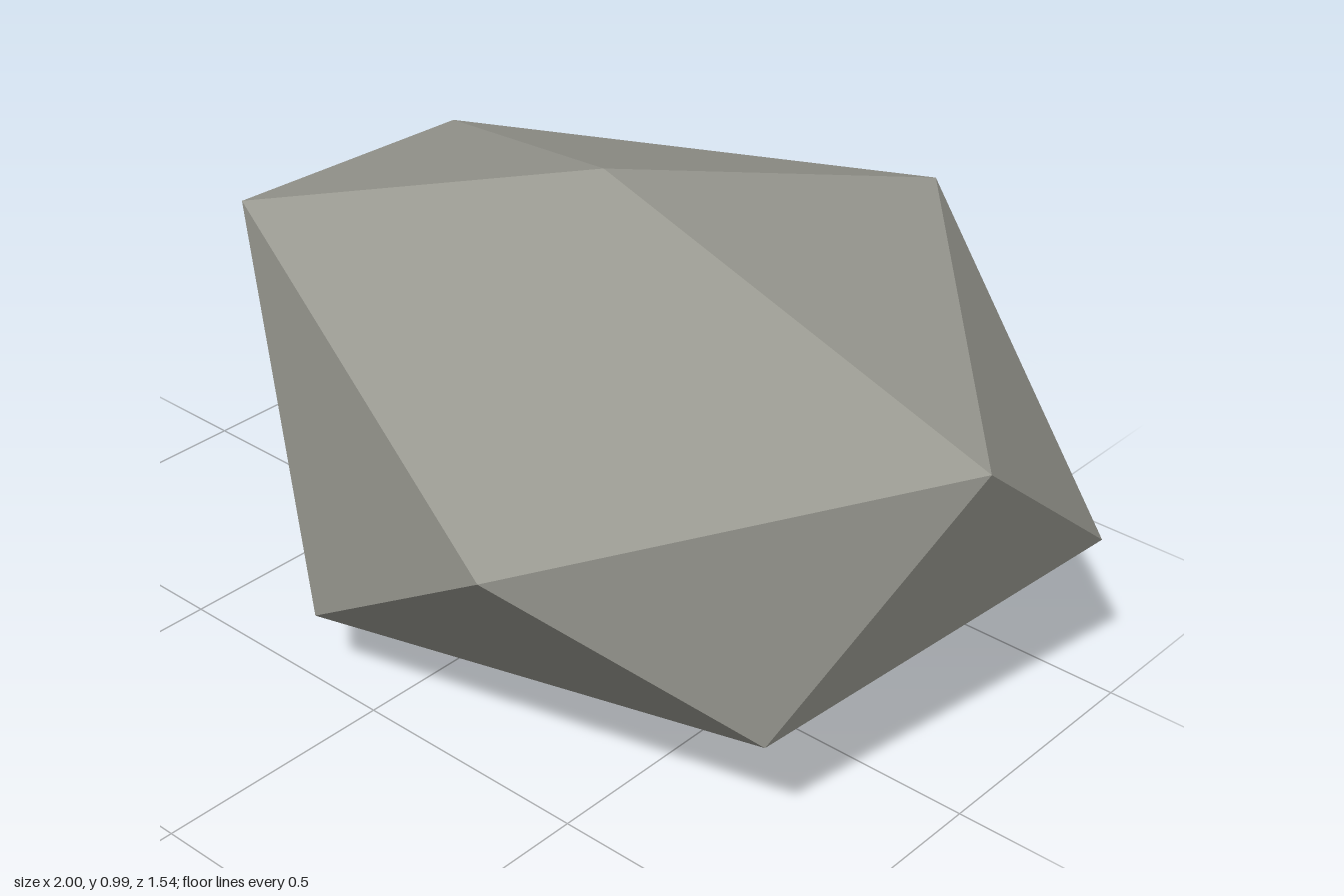
import * as THREE from 'three';

// Irregular faceted stone: a distorted icosahedron made of a top point,
// two staggered rings of five points, and a bottom point.
const top = [0.11, 0.99, -0.02];
const upperRing = [
  [-0.65, 0.755, 0.2], [0.55, 0.67, 0.77], [1.0, 0.715, 0.0],
  [0.325, 0.78, -0.775], [-0.755, 0.67, -0.5],
];
const lowerRing = [
  [-0.13, 0.167, 0.52], [0.82, 0.25, 0.35], [0.975, 0.367, -0.44],
  [-0.1, 0.25, -0.63], [-1.0, 0.25, -0.205],
];
const bottom = [0, 0, -0.2];

function createStoneGeometry() {
  const positions = [];
  const face = (a, b, c) => positions.push(...a, ...b, ...c);
  for (let i = 0; i < 5; i++) {
    const j = (i + 1) % 5;
    face(top, upperRing[i], upperRing[j]);            // crown
    face(upperRing[i], lowerRing[i], upperRing[j]);   // side, pointing down
    face(lowerRing[i], lowerRing[j], upperRing[j]);   // side, pointing up
    face(bottom, lowerRing[j], lowerRing[i]);         // underside
  }
  const geometry = new THREE.BufferGeometry();
  geometry.setAttribute('position', new THREE.Float32BufferAttribute(positions, 3));
  geometry.computeVertexNormals();
  return geometry;
}

export function createModel() {
  const group = new THREE.Group();
  group.name = 'rock';

  const stoneGrey = new THREE.MeshStandardMaterial({ color: 0x9a9a92, flatShading: true });
  stoneGrey.name = 'stone grey';

  const stone = new THREE.Mesh(createStoneGeometry(), stoneGrey);
  stone.name = 'stone';
  group.add(stone);
  return group;
}
